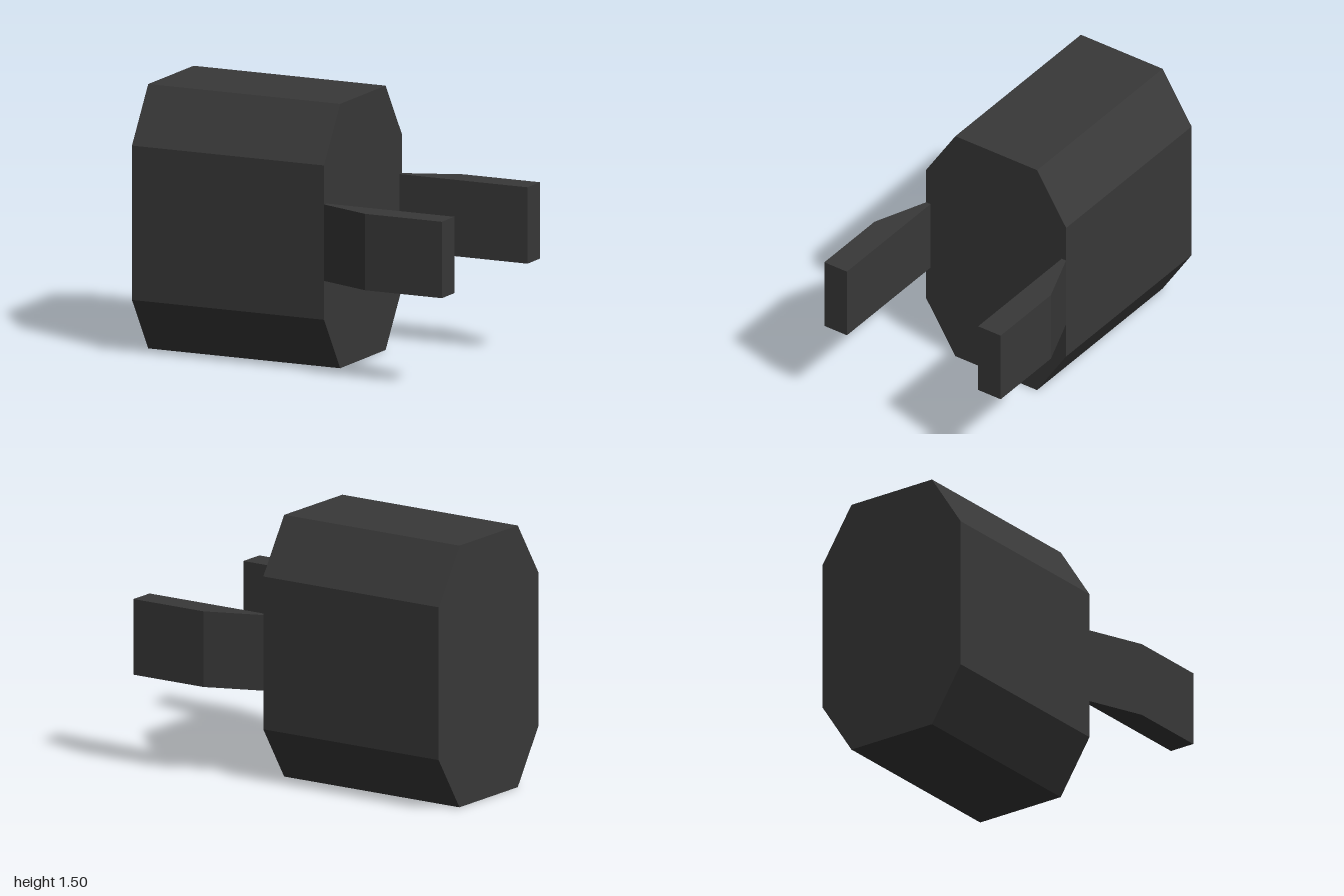
import * as THREE from 'three';

export function createModel() {
  const group = new THREE.Group();
  const darkGrey = new THREE.MeshStandardMaterial({ color: 0x383838 });
  darkGrey.name = 'darkGrey';

  const extrude = (points, depth) =>
    new THREE.ExtrudeGeometry(
      new THREE.Shape(points.map(([x, y]) => new THREE.Vector2(x, y))),
      { depth, bevelEnabled: false }
    );
  const add = (name, geometry) => {
    const mesh = new THREE.Mesh(geometry, darkGrey);
    mesh.name = name;
    group.add(mesh);
  };

  // Eight-sided housing, extruded along x
  const housing = extrude([
    [-0.28, 0], [0.28, 0], [0.48, 0.313], [0.48, 1.192],
    [0.28, 1.505], [-0.28, 1.505], [-0.48, 1.192], [-0.48, 0.313],
  ], 1.2);
  housing.rotateY(Math.PI / 2).translate(-1, 0, 0);
  add('housing', housing);

  // Two flared prongs, mirrored front to back, extruded along y
  for (const side of [1, -1]) {
    const prong = extrude([
      [0.2, 0.45], [1, 0.45], [1, 0.605], [0.52, 0.605], [0.2, 0.48],
    ].map(([x, z]) => [x, z * side]), 0.435);
    prong.rotateX(Math.PI / 2).translate(0, 0.97, 0);
    add(side > 0 ? 'frontProng' : 'backProng', prong);
  }
  return group;
}
